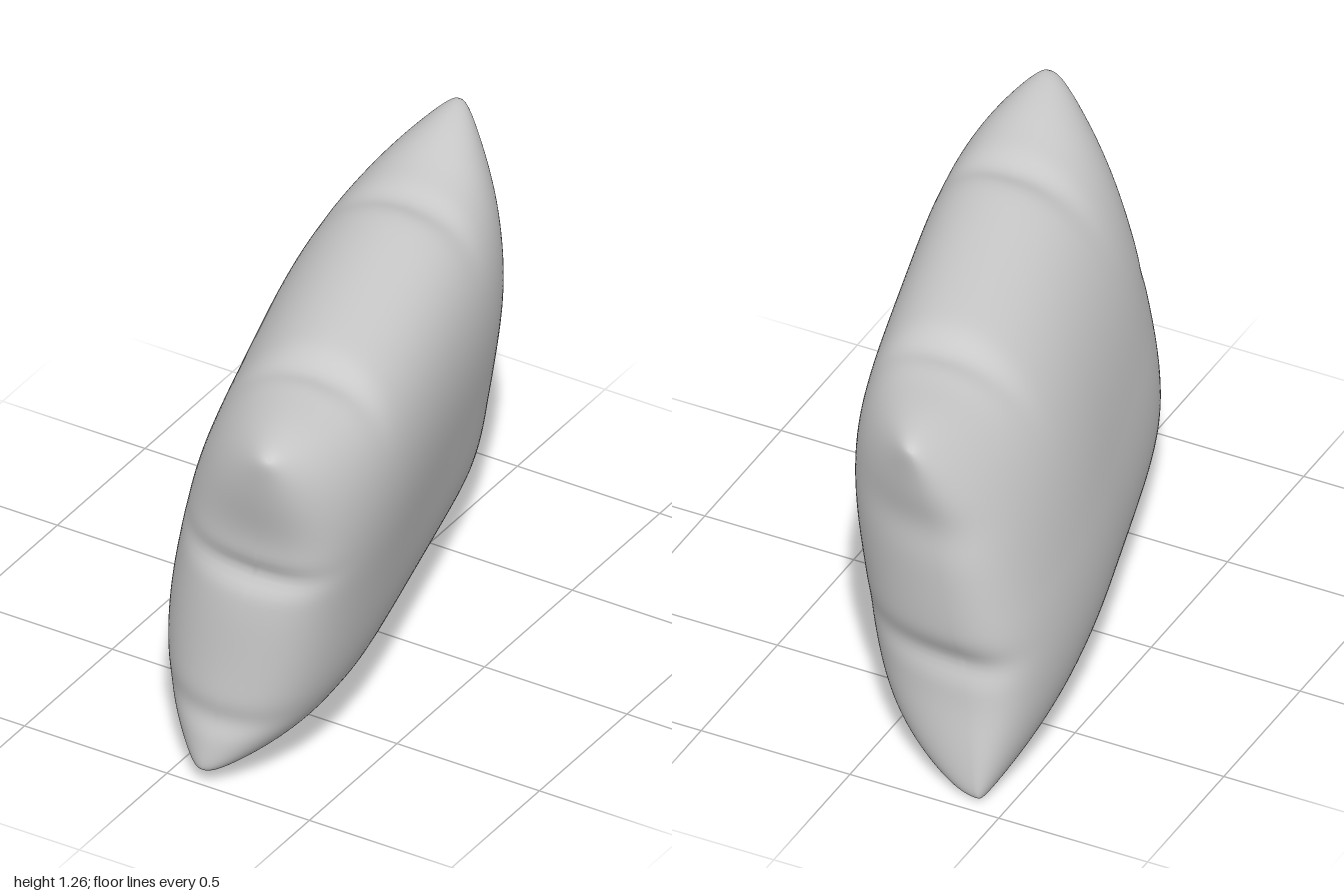
import * as THREE from 'three';
import { mergeVertices } from 'three/addons/utils/BufferGeometryUtils.js';

const lerp = THREE.MathUtils.lerp;

// Corners of the cushion's middle sheet: [x, y, z]
const corner = {
  backBottom: [-0.405, -0.015, -0.97],
  frontBottom: [0.12, 0.025, 1.015],
  backTop: [-0.2, 1.262, -1.015],
  frontTop: [0.35, 1.238, 1.01],
};

// Tucks along the seams: edge, position along it (-1..1), depth, width.
// Each sharp tuck sits beside a wide shallow one that slants the seam towards it.
const tucks = [
  ['top', 0.48, 0.026, 0.07], ['top', 0.58, 0.014, 0.16],
  ['top', -0.45, 0.024, 0.07], ['top', -0.58, 0.022, 0.18],
  ['bottom', 0.58, 0.022, 0.08], ['bottom', 0.64, 0.018, 0.2],
  ['bottom', -0.35, 0.008, 0.15],
  ['front', 0.2, 0.026, 0.07], ['front', 0.36, 0.036, 0.28],
  ['front', -0.66, 0.014, 0.08],
  ['back', -0.27, 0.026, 0.09], ['back', -0.42, 0.026, 0.28],
  ['back', 0.5, 0.014, 0.15],
];

// How far a seam is pulled inwards at position s
function pull(edge, s, bow) {
  let d = bow * (1 - s * s);
  for (const [e, pos, depth, width] of tucks) {
    if (e === edge) d += depth * Math.exp(-(((s - pos) / width) ** 2));
  }
  return d;
}

// Half thickness: the left face is full and boxy, the right face tapers to its seams,
// most of all towards the back
function halfThickness(u, v, side) {
  const left = side > 0;
  const pu = left ? (u > 0 ? 3.9 : 5.2 - 1.8 * v) : (u > 0 ? 5.5 : 2.5);
  const pv = left ? (v > 0 ? 2.7 : 4.8 - 0.8 * u) : (v > 0 ? 2.8 : 2.3 + 0.3 * u);
  const fill = (1 - Math.abs(u) ** pu) * (1 - Math.abs(v) ** pv);
  return (left ? 0.372 : 0.335 - 0.03 * u) * Math.sqrt(Math.max(0, fill));
}

// Point on the cushion; u runs back to front, v bottom to top, side is +1 or -1 in x
function surfacePoint(u, v, side) {
  const a = (u + 1) / 2, b = (v + 1) / 2;
  const [x, y, z] = [0, 1, 2].map((i) => lerp(
    lerp(corner.backBottom[i], corner.frontBottom[i], a),
    lerp(corner.backTop[i], corner.frontTop[i], a), b));

  // Seam bow and tucks fade out towards the middle
  const wu = Math.abs(u) ** 7, wv = Math.abs(v) ** 6;
  const dz = u > 0 ? -pull('front', v, 0.045) : pull('back', v, 0.045);
  const dy = v > 0 ? -pull('top', u, 0.016) : pull('bottom', u, 0.05);

  // Blunt the corner tips
  const blunt = 0.022 * Math.abs(u * v) ** 24;
  return [
    x + side * halfThickness(u, v, side),
    y + dy * wv - blunt * Math.sign(v),
    z + dz * wu - blunt * Math.sign(u),
  ];
}

// Both faces as grids crowded towards the seams, welded along the rim
function cushionGeometry(nu = 120, nv = 90) {
  const pos = [], idx = [];
  for (const side of [1, -1]) {
    const base = pos.length / 3;
    for (let j = 0; j <= nv; j++) {
      const v = Math.sin((j / nv - 0.5) * Math.PI);
      for (let i = 0; i <= nu; i++) {
        const u = Math.sin((i / nu - 0.5) * Math.PI);
        pos.push(...surfacePoint(u, v, side));
      }
    }
    for (let j = 0; j < nv; j++) {
      for (let i = 0; i < nu; i++) {
        const p = base + j * (nu + 1) + i, q = p + 1, r = p + nu + 1, s = r + 1;
        if (side > 0) idx.push(p, r, q, q, r, s);
        else idx.push(p, q, r, q, s, r);
      }
    }
  }
  const geo = new THREE.BufferGeometry();
  geo.setAttribute('position', new THREE.Float32BufferAttribute(pos, 3));
  geo.setIndex(idx);
  const welded = mergeVertices(geo, 1e-5);
  welded.computeVertexNormals();
  return welded;
}

export function createModel() {
  const group = new THREE.Group();
  group.name = 'pillow';
  const cushion = new THREE.Mesh(
    cushionGeometry(),
    new THREE.MeshStandardMaterial({ color: 0xcccccc }),
  );
  cushion.name = 'cushion';
  group.add(cushion);
  return group;
}
